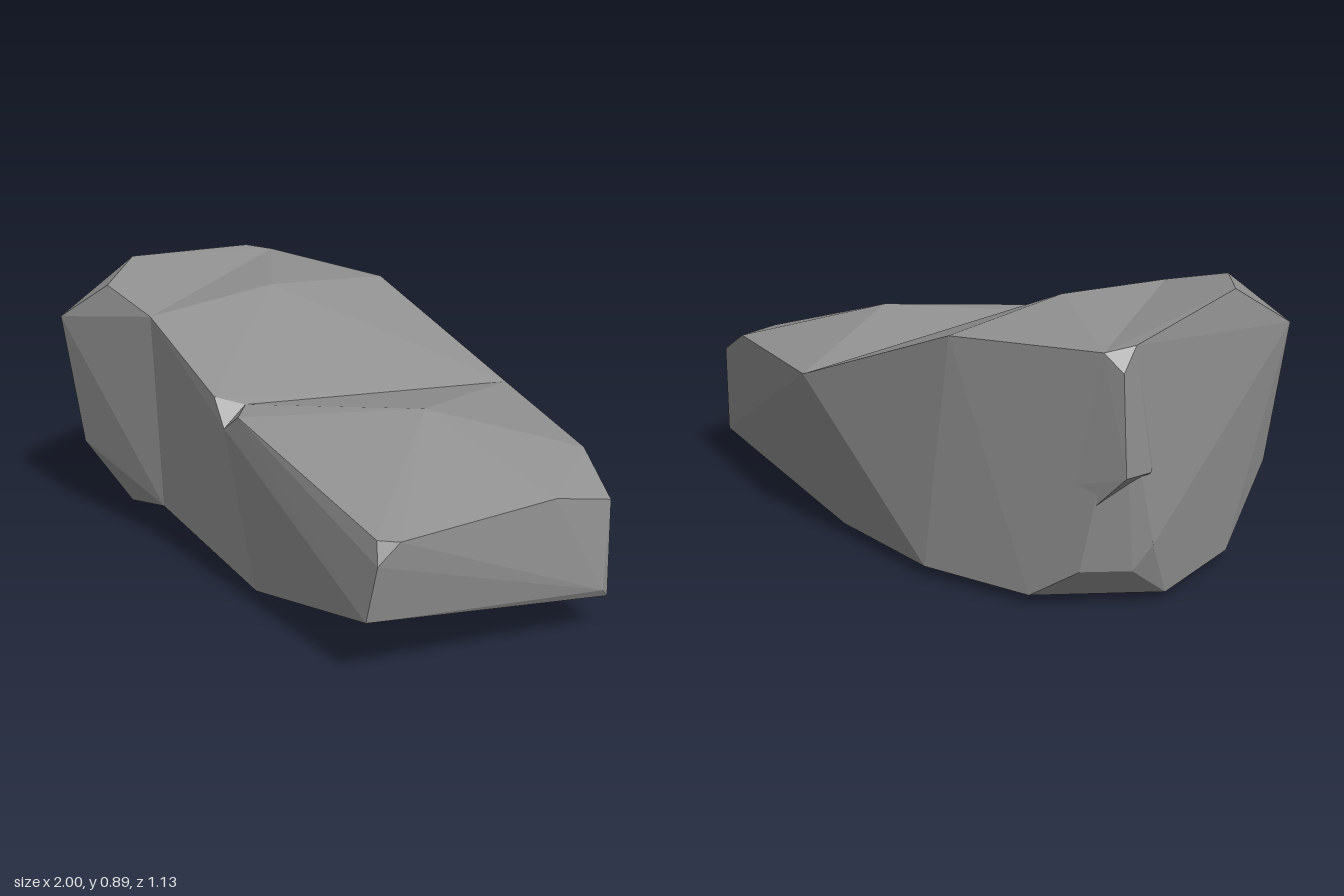
import * as THREE from 'three';
import { ConvexGeometry } from 'three/addons/geometries/ConvexGeometry.js';

const v = (x, y, z) => new THREE.Vector3(x, y, z);

export function createModel() {
  const rock = new THREE.Group();
  rock.name = 'rock';

  const stone = new THREE.MeshStandardMaterial({ color: 0x909090 });
  stone.name = 'stone grey';

  // Shared section where the tall end meets the slope
  const ridgeFront = v(-0.43, 0.81, 0.455);
  const ridgeTop = [v(-0.43, 0.845, -0.03), v(-0.43, 0.8, -0.505)];
  const ridgeFoot = [v(-0.32, 0.035, -0.51), v(-0.4, 0.14, 0.445)];

  // Shared section along the valley, passing through the chip at its front edge
  const valley = [
    v(0.04, 0.62, 0.39), v(0.04, 0.555, 0.472), v(0.2, 0.555, -0.565),
    v(0.2, 0, -0.41), v(0.2, 0.05, 0.465),
  ];

  // Foot of the tall end: bevelled back corner and chipped front corner
  const foot = [
    v(-0.85, 0.14, -0.37), v(-0.95, 0.14, -0.25), v(-0.985, 0.22, -0.2),
    v(-0.95, 0.03, -0.1), v(-0.69, 0.03, -0.42),
    v(-0.82, 0.27, 0.515), v(-0.7, 0.25, 0.497), v(-0.6, 0.1, 0.455),
    v(-0.71, 0.035, 0.32), v(-0.87, 0.035, 0.28),
  ];

  // Back corner of the tall end, which overhangs the foot
  const backCorner = [v(-0.97, 0.84, -0.28), v(-0.92, 0.823, -0.36), v(-0.98, 0.77, -0.34)];
  const overhang = [
    v(-0.995, 0.46, -0.335), v(-0.985, 0.45, -0.22), v(-0.8, 0.4, -0.39),
    v(-0.88, 0.34, -0.36), v(-0.86, 0.6, 0),
  ];

  // Raised outer corners of the tall end
  const peak = [v(-0.88, 0.895, 0.26), v(-0.67, 0.87, 0.48), v(-0.86, 0.73, 0.565)];

  // Near side of the valley chip
  const slope = [v(-0.02, 0.645, 0.468), v(0.01, 0.635, 0.4), v(0, 0.565, 0.47)];

  // Low end: far side of the valley chip, top peak, end face, chipped front corner
  const lowEnd = [
    v(0.13, 0.613, 0.43), v(0.12, 0.615, 0.47), v(0.08, 0.545, 0.474),
    v(0.45, 0.64, -0.01), v(0.78, 0.53, -0.385),
    v(0.96, 0.48, -0.11), v(0.97, 0.43, -0.325), v(0.99, 0.12, -0.31),
    v(1, 0.15, -0.28), v(0.86, 0.46, 0.485), v(0.9, 0.455, 0.43),
    v(0.885, 0.39, 0.5), v(0.85, 0.205, 0.515),
  ];

  // Each chunk is convex; neighbours meet along the valleys between them
  const chunks = {
    peak: [...peak, ridgeFront, ...backCorner, ...foot, ...ridgeFoot],
    shoulder: [ridgeFront, ...ridgeTop, backCorner[1], ...foot, ...ridgeFoot],
    overhang: [...backCorner, ...overhang],
    slope: [ridgeFront, ...ridgeTop, ...ridgeFoot, ...slope, ...valley],
    lowEnd: [...valley, ...lowEnd],
  };
  for (const [name, points] of Object.entries(chunks)) {
    const mesh = new THREE.Mesh(new ConvexGeometry(points), stone);
    mesh.name = name;
    rock.add(mesh);
  }
  return rock;
}
